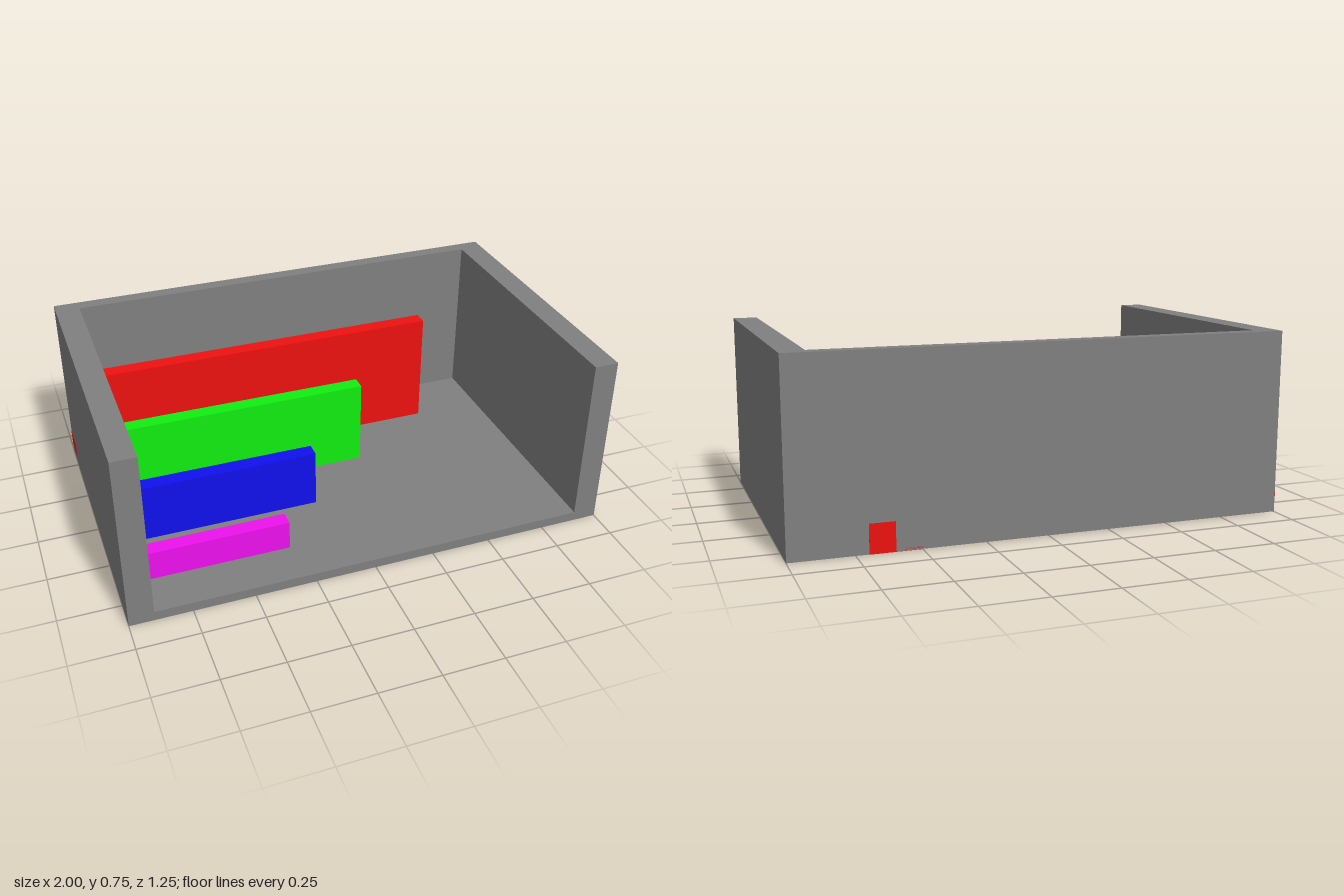
import * as THREE from 'three';

// Box given by its minimum and maximum along each axis
function slab(name, color, [x0, x1], [y0, y1], [z0, z1]) {
  const mesh = new THREE.Mesh(
    new THREE.BoxGeometry(x1 - x0, y1 - y0, z1 - z0),
    new THREE.MeshStandardMaterial({ color })
  );
  mesh.name = name;
  mesh.position.set((x0 + x1) / 2, (y0 + y1) / 2, (z0 + z1) / 2);
  return mesh;
}

export function createModel() {
  const group = new THREE.Group();
  group.name = 'openTray';
  const GREY = 0x808080, RED = 0xee1111;
  const H = 0.745, D = 0.6225, FLOOR = 0.04, INNER = 0.9, BACK = -0.565;

  // Open-fronted tray: U-shaped wall with mitre-free top, standing on a floor
  const plan = new THREE.Shape([
    [-1, -D], [-INNER, -D], [-INNER, -BACK], [INNER, -BACK],
    [INNER, -D], [1, -D], [1, D], [-1, D],
  ].map(([x, y]) => new THREE.Vector2(x, y)));
  const walls = new THREE.Mesh(
    new THREE.ExtrudeGeometry(plan, { depth: H, bevelEnabled: false }).rotateX(-Math.PI / 2),
    new THREE.MeshStandardMaterial({ color: GREY })
  );
  walls.name = 'walls';
  group.add(walls, slab('floor', GREY, [-INNER, INNER], [0, FLOOR], [BACK, D]));

  // Four partitions growing from front to back, fixed to one side wall
  const partitions = [
    ['redPartition', RED, 0.6, 0.54, -0.3475],
    ['greenPartition', 0x11ee11, 0.2, 0.415, -0.0975],
    ['bluePartition', 0x1111ee, -0.1, 0.29, 0.1525],
    ['magentaPartition', 0xee11ee, -0.3, 0.165, 0.4025],
  ];
  for (const [name, color, end, top, z] of partitions) {
    group.add(slab(name, color, [-INNER, end], [FLOOR, top], [z - 0.0315, z + 0.0315]));
  }

  // Small red inlays, almost flush with the outside of the tray
  const e = 0.001;
  group.add(
    slab('backInlay', RED, [0.6, 0.7], [0, 0.115], [-D - e, -D + 0.01]),
    slab('bottomInlay', RED, [0.5, 0.7], [-e, 0.01], [-D, -D + 0.05]),
    slab('sideInlay', RED, [-1 - e, -0.99], [0.04, 0.11], [-D, -D + 0.12])
  );
  return group;
}
